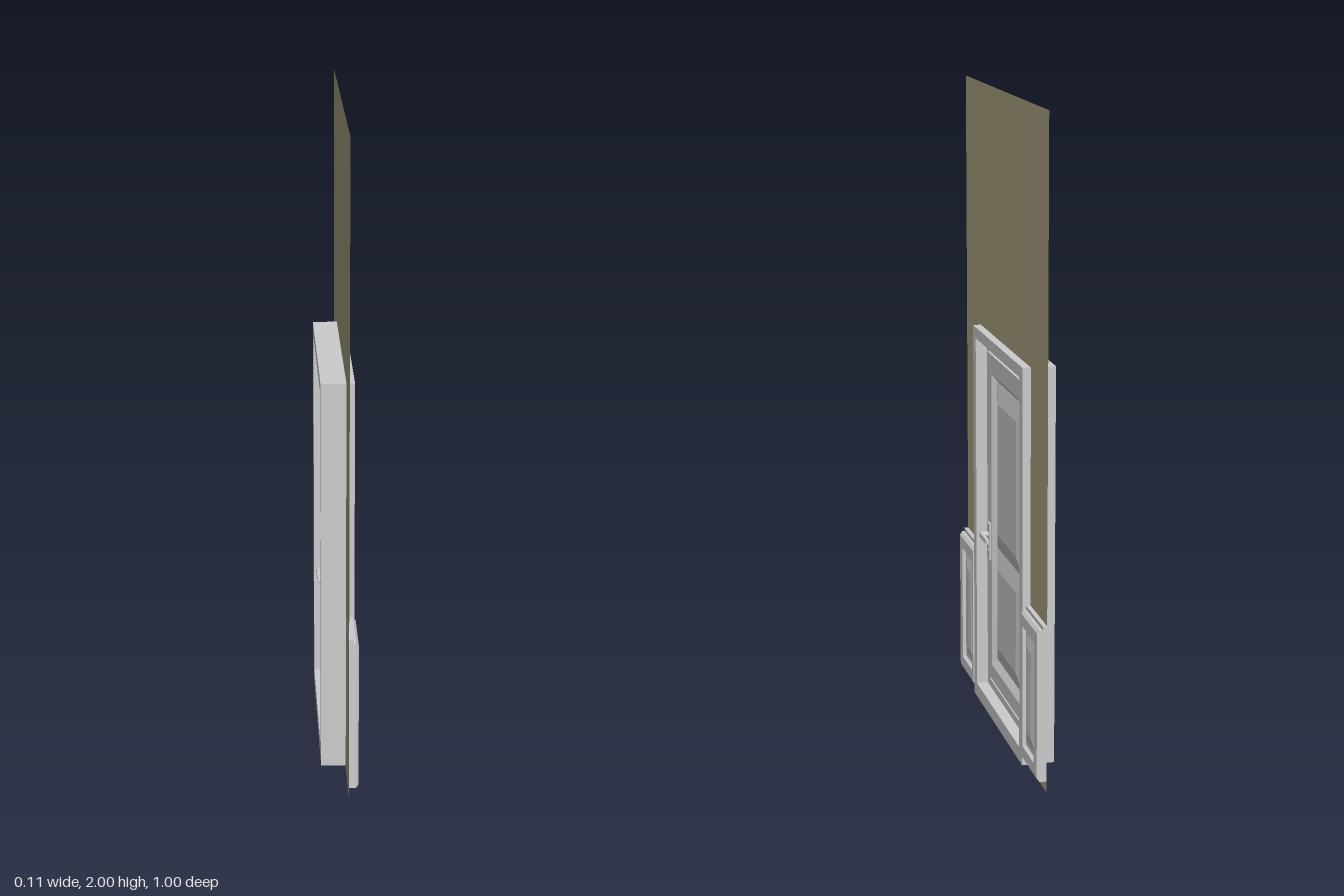
import * as THREE from 'three';

// Everything is laid out in elevation: u runs along -z, v is height, depth is along +x.
const grey = new THREE.MeshStandardMaterial({ color: 0xcccccc, flatShading: true });
const wallPaint = new THREE.MeshStandardMaterial({ color: 0xaaa280, side: THREE.DoubleSide });

function add(parent, name, geometry, material = grey) {
  const mesh = new THREE.Mesh(geometry, material);
  mesh.name = name;
  parent.add(mesh);
  return mesh;
}

function rectPath(Type, [u0, u1, v0, v1]) {
  const p = new Type();
  p.moveTo(u0, v0).lineTo(u1, v0).lineTo(u1, v1).lineTo(u0, v1).closePath();
  return p;
}

// Rectangular frame with a rectangular opening, from depth x0 to x1
function ring(outer, inner, x0, x1) {
  const shape = rectPath(THREE.Shape, outer);
  shape.holes.push(rectPath(THREE.Path, inner));
  return new THREE.ExtrudeGeometry(shape, { depth: x1 - x0, bevelEnabled: false })
    .translate(0, 0, x0).rotateY(Math.PI / 2);
}

function block(u0, u1, v0, v1, x0, x1) {
  return new THREE.BoxGeometry(x1 - x0, v1 - v0, u1 - u0)
    .translate((x0 + x1) / 2, (v0 + v1) / 2, -(u0 + u1) / 2);
}

// Stepped panel: rectangles [u0, u1, v0, v1, x] joined from outside in, the last one capped
function steppedPanel(loops, cap = true) {
  const pos = [], index = [];
  for (const [u0, u1, v0, v1, x] of loops) {
    pos.push(x, v0, -u0, x, v0, -u1, x, v1, -u1, x, v1, -u0);
  }
  for (let k = 0; k < loops.length - 1; k++) {
    for (let i = 0; i < 4; i++) {
      const a = k * 4 + i, b = k * 4 + (i + 1) % 4;
      index.push(a, b, b + 4, a, b + 4, a + 4);
    }
  }
  const n = (loops.length - 1) * 4;
  if (cap) index.push(n, n + 1, n + 2, n, n + 2, n + 3);
  const g = new THREE.BufferGeometry();
  g.setAttribute('position', new THREE.Float32BufferAttribute(pos, 3));
  g.setIndex(index);
  const flat = g.toNonIndexed();
  flat.computeVertexNormals();
  return flat;
}

// Moulded field of one door face, looking towards +x
function doorFace(face) {
  const g = new THREE.Group();
  const low = face - 0.014, high = face - 0.002;
  add(g, 'panelMoulding', steppedPanel([
    [-0.185, 0.185, 0.15, 1.11, face],
    [-0.165, 0.165, 0.175, 1.09, low],
  ], false));
  for (const [name, v0, v1] of [['lowerPanel', 0.175, 0.55], ['upperPanel', 0.55, 1.09]]) {
    add(g, name, steppedPanel([
      [-0.165, 0.165, v0, v1, low],
      [-0.115, 0.115, v0 + 0.055, v1 - 0.06, high],
    ]));
  }
  return g;
}

// Backplate, spindle and lever; dir is +1 on the front face, -1 on the back
function handle(face, dir) {
  const g = new THREE.Group();
  const span = (a, b) => [face + dir * a, face + dir * b].sort((p, q) => p - q);
  add(g, 'handlePlate', block(-0.222, -0.192, 0.5, 0.62, ...span(0, 0.006)));
  add(g, 'spindle', new THREE.CylinderGeometry(0.009, 0.009, 0.03, 12)
    .rotateZ(Math.PI / 2).translate(face + dir * 0.015, 0.582, 0.206));
  add(g, 'lever', block(-0.212, -0.125, 0.575, 0.59, ...span(0.024, 0.034)));
  add(g, 'keyhole', new THREE.CylinderGeometry(0.006, 0.006, 0.003, 10)
    .rotateZ(Math.PI / 2).translate(face + dir * 0.007, 0.53, 0.206));
  return g;
}

export function createModel() {
  const model = new THREE.Group();
  model.name = 'doorInWall';

  // Thin wall notched around the doorway
  const outline = [[-0.5, 0], [-0.3, 0], [-0.3, 1.22], [0.3, 1.22], [0.3, 0], [0.5, 0], [0.5, 2], [-0.5, 2]];
  const wall = new THREE.Shape(outline.map(([u, v]) => new THREE.Vector2(u, v)));
  add(model, 'wall', new THREE.ShapeGeometry(wall).rotateY(Math.PI / 2).translate(0.025, 0, 0), wallPaint);

  // Door casing and the inner rebate the leaf closes into
  const frame = new THREE.Group();
  frame.name = 'doorFrame';
  add(frame, 'casing', ring([-0.31, 0.31, 0.01, 1.24], [-0.275, 0.275, 0.055, 1.205], -0.05, 0.05));
  add(frame, 'rebate', ring([-0.275, 0.275, 0.055, 1.205], [-0.24, 0.24, 0.08, 1.17], -0.022, 0.014));
  model.add(frame);

  // Door leaf with raised panels on both faces
  const door = new THREE.Group();
  door.name = 'door';
  const face = 0.022;
  add(door, 'leafFrame', ring([-0.24, 0.24, 0.1, 1.17], [-0.185, 0.185, 0.15, 1.11], -face, face));
  const front = doorFace(face), back = doorFace(face);
  front.name = 'frontFace';
  back.name = 'backFace';
  back.rotation.y = Math.PI;
  door.add(front, back);
  const frontHandle = handle(face, 1), backHandle = handle(-face, -1);
  frontHandle.name = 'frontHandle';
  backHandle.name = 'backHandle';
  door.add(frontHandle, backHandle);
  model.add(door);

  // Two-part hinges
  for (const [name, v] of [['lowerHinge', 0.175], ['upperHinge', 0.92]]) {
    const hinge = new THREE.Group();
    hinge.name = name;
    add(hinge, 'frameLeaf', block(0.23, 0.25, v, v + 0.083, 0.012, 0.034));
    add(hinge, 'doorLeaf', block(0.225, 0.244, v + 0.083, v + 0.16, 0.02, 0.034));
    add(hinge, 'pin', new THREE.CylinderGeometry(0.006, 0.006, 0.16, 10).translate(0.034, v + 0.08, -0.237));
    model.add(hinge);
  }

  // Wainscot on each side of the door
  for (const side of [-1, 1]) {
    const wainscot = new THREE.Group();
    wainscot.name = side < 0 ? 'wainscotHandleSide' : 'wainscotHingeSide';
    const rect = (near, far, v0, v1, x) => (side > 0 ? [near, far, v0, v1, x] : [-far, -near, v0, v1, x]);
    add(wainscot, 'wainscotPanel', steppedPanel([
      rect(0.308, 0.5, 0.035, 0.505, 0.025),
      rect(0.308, 0.5, 0.035, 0.505, 0.046),
      rect(0.312, 0.496, 0.045, 0.495, 0.054),
      rect(0.33, 0.462, 0.08, 0.46, 0.054),
      rect(0.334, 0.456, 0.086, 0.454, 0.044),
      rect(0.345, 0.445, 0.1, 0.44, 0.044),
      rect(0.362, 0.41, 0.135, 0.405, 0.05),
    ]));
    const [u0, u1] = rect(0.308, 0.5);
    add(wainscot, 'capRail', block(u0, u1, 0.5, 0.517, 0.025, 0.038));
    model.add(wainscot);
  }

  return model;
}
